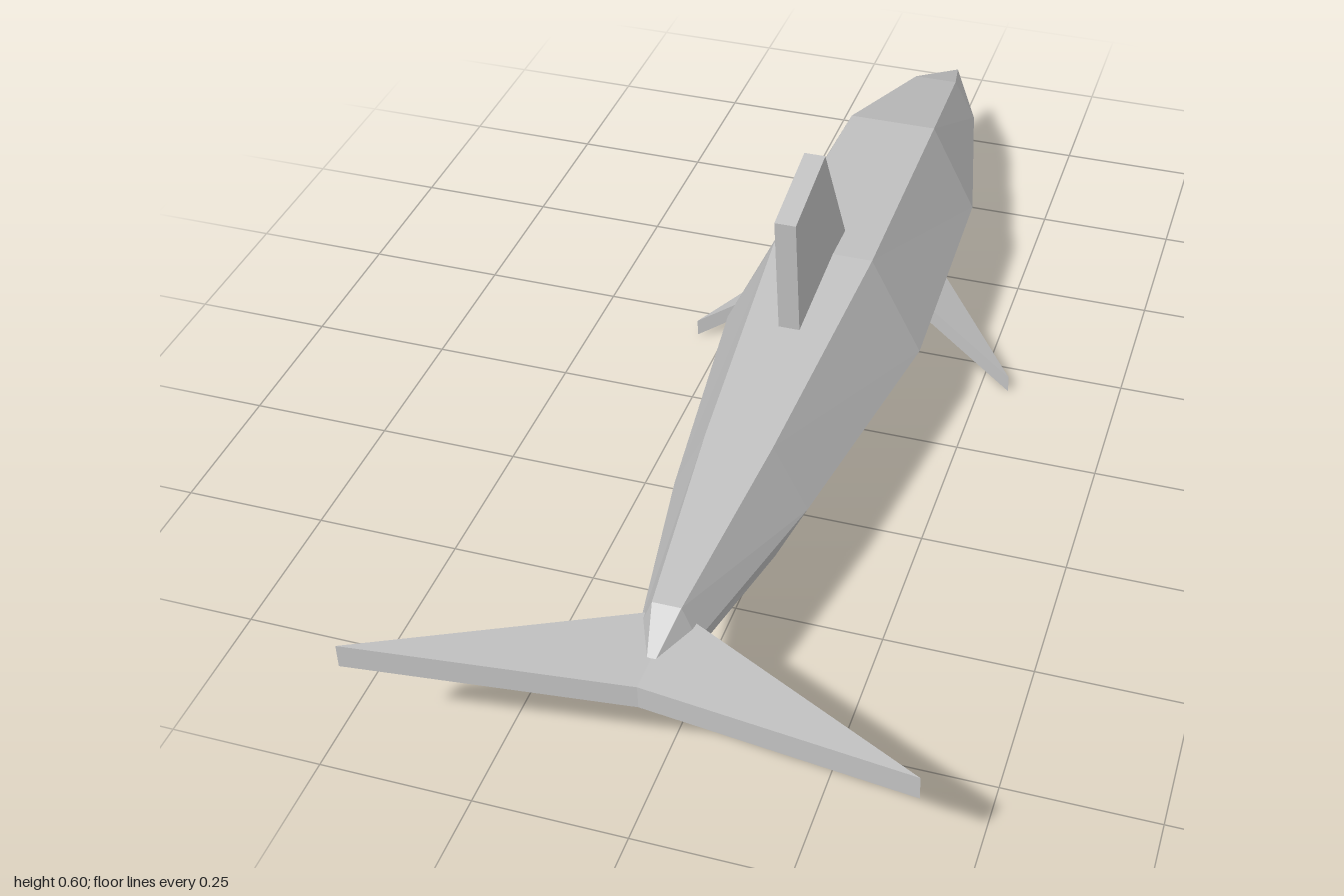
import * as THREE from 'three';

const V = (x, y, z) => new THREE.Vector3(x, y, z);

// Closed flat-shaded solid through a list of equal-length rings, capped at both ends.
function loft(rings) {
  const tris = [];
  const add = (a, b, c) => {
    const area = b.clone().sub(a).cross(c.clone().sub(a)).length();
    if (area > 1e-7) tris.push([a, b, c]);
  };
  const n = rings[0].length;
  for (let i = 0; i + 1 < rings.length; i++) {
    for (let j = 0; j < n; j++) {
      const k = (j + 1) % n;
      add(rings[i][j], rings[i][k], rings[i + 1][k]);
      add(rings[i][j], rings[i + 1][k], rings[i + 1][j]);
    }
  }
  const first = rings[0], last = rings[rings.length - 1];
  for (let j = 1; j + 1 < n; j++) {
    add(first[0], first[j + 1], first[j]);
    add(last[0], last[j], last[j + 1]);
  }
  // Turn the faces outward whichever way the rings run
  const volume = tris.reduce((s, [a, b, c]) => s + a.dot(b.clone().cross(c)), 0);
  const points = tris.flatMap(([a, b, c]) => (volume < 0 ? [a, c, b] : [a, b, c]));
  const geometry = new THREE.BufferGeometry().setFromPoints(points);
  geometry.computeVertexNormals();
  return geometry;
}

// Plate of constant thickness below an outline
function plate(top, thickness) {
  return loft([top.map((p) => V(p.x, p.y - thickness, p.z)), top]);
}

export function createModel() {
  const group = new THREE.Group();
  const skin = new THREE.MeshStandardMaterial({ color: 0xc0c0c0, flatShading: true });
  skin.name = 'grey skin';
  const part = (name, geometry) => {
    const mesh = new THREE.Mesh(geometry, skin);
    mesh.name = name;
    group.add(mesh);
  };

  // Six-sided body, nose to tail: z, half width, bottom, middle, top
  const sections = [
    [-1.0, 0, 0.173, 0.173, 0.173],
    [-0.8, 0.082, 0.108, 0.188, 0.264],
    [-0.46, 0.16, 0.047, 0.204, 0.366],
    [0, 0.176, 0.03, 0.204, 0.379],
    [0.46, 0.112, 0.098, 0.214, 0.329],
    [0.8, 0.046, 0.172, 0.232, 0.29],
    [0.9, 0, 0.232, 0.232, 0.232],
  ];
  part('body', loft(sections.map(([z, w, bottom, middle, top]) => [
    V(w, middle, z), V(w / 2, top, z), V(-w / 2, top, z),
    V(-w, middle, z), V(-w / 2, bottom, z), V(w / 2, bottom, z),
  ])));

  // Upright back fin
  const finSide = (x) => [
    V(x, 0.357, 0.195), V(x, 0.575, 0.21), V(x, 0.606, 0.045), V(x, 0.357, -0.087),
  ];
  part('dorsalFin', loft([finSide(-0.018), finSide(0.018)]));

  // Paired side fins and tail flukes
  for (const [side, s] of [['left', 1], ['right', -1]]) {
    part(side + 'Flipper', plate([
      V(s * 0.302, 0.035, -0.182), V(s * 0.12, 0.121, -0.37), V(s * 0.1, 0.147, -0.24),
    ], 0.032));
    part(side + 'Fluke', plate([
      V(0, 0.249, 0.765), V(s * 0.436, 0.274, 1.0), V(0, 0.249, 0.93),
    ], 0.041));
  }
  return group;
}
